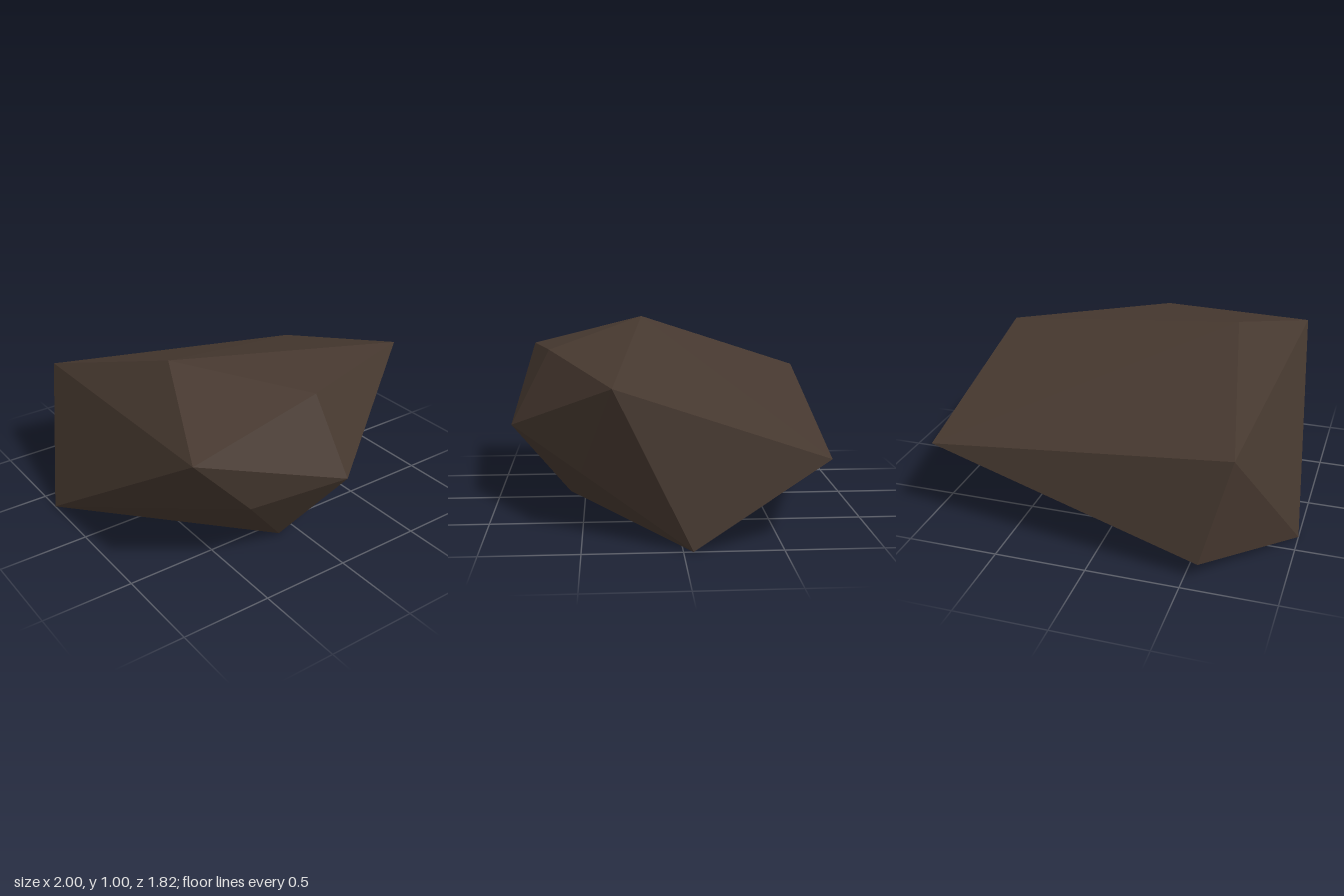
import * as THREE from 'three';
import { ConvexGeometry } from 'three/addons/geometries/ConvexGeometry.js';

export function createModel() {
  const group = new THREE.Group();
  group.name = 'boulder';

  const stone = new THREE.MeshStandardMaterial({ color: 0x46382f, flatShading: true });
  stone.name = 'darkBrownStone';

  // Corners of the faceted rock
  const corners = [
    // upper corners
    [-0.82, 0.80, 0.83], [0.03, 0.87, 0.69], [0.92, 0.80, 0.34],
    [-0.52, 1.00, 0.15], [-0.72, 0.66, -0.83], [0.97, 0.45, -0.73],
    // front corners at mid height
    [0.08, 0.45, 0.91], [-0.47, 0.42, 0.81], [0.52, 0.28, 0.51],
    // low corners and the three ground contacts
    [-0.57, 0.09, -0.91], [-1.00, 0, -0.37], [-0.11, 0, 0.59], [1.00, 0, -0.05],
  ].map((p) => new THREE.Vector3(...p));

  const rock = new THREE.Mesh(new ConvexGeometry(corners), stone);
  rock.name = 'rock';
  group.add(rock);
  return group;
}
